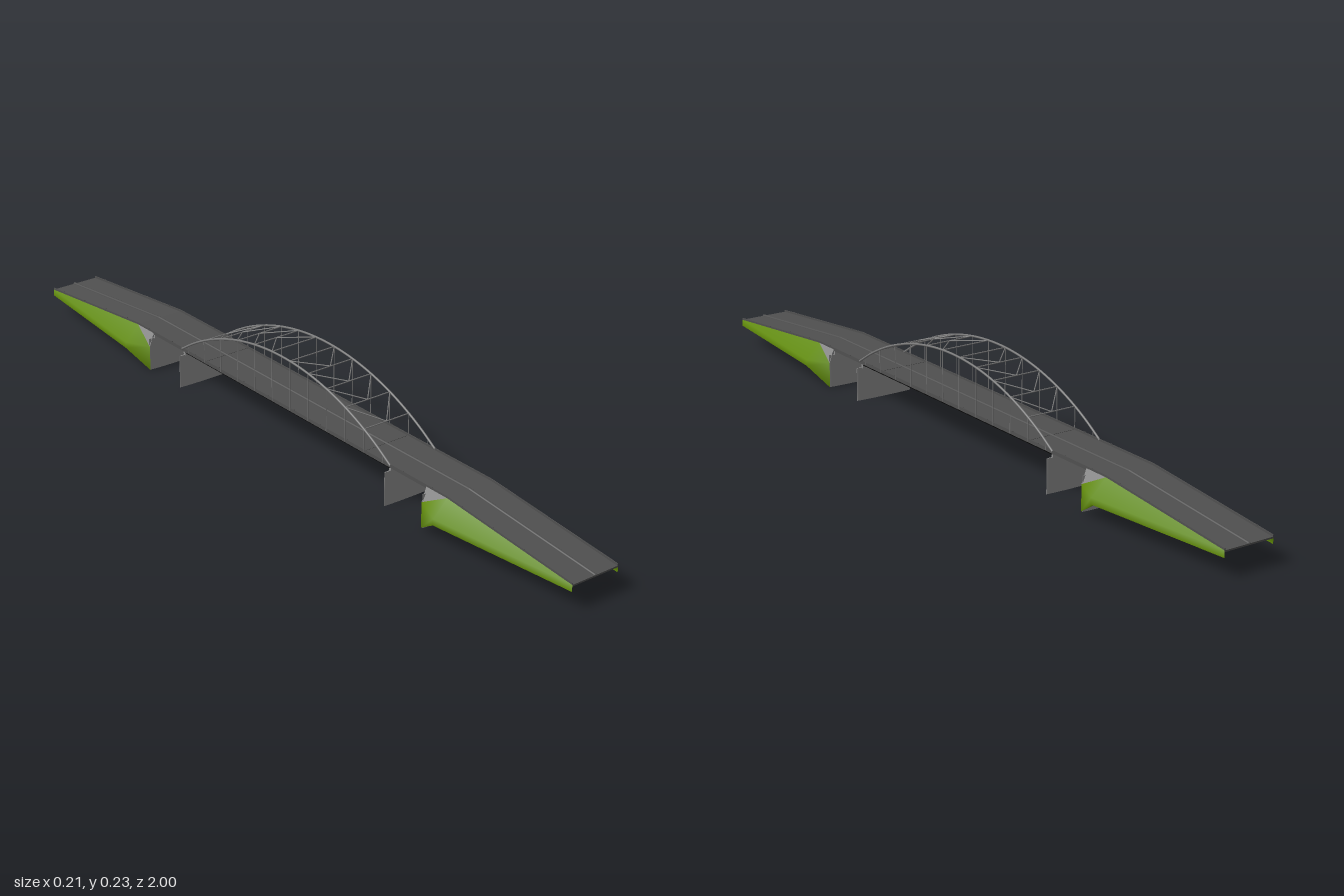
import * as THREE from 'three';
import { mergeVertices } from 'three/addons/utils/BufferGeometryUtils.js';

const mat = (name, color, side = THREE.FrontSide) => {
  const m = new THREE.MeshStandardMaterial({ color, side });
  m.name = name;
  return m;
};

export function createModel() {
  const asphalt = mat('asphalt', 0x505050, THREE.DoubleSide);
  const steel = mat('steel', 0x767676, THREE.DoubleSide);
  const black = mat('blackSteel', 0x060606);
  const concrete = mat('concrete', 0x8e8e8e, THREE.DoubleSide);
  const grass = mat('grass', 0x608a06, THREE.DoubleSide);

  const bridge = new THREE.Group();
  bridge.name = 'archBridge';
  const v = (x, y, z) => new THREE.Vector3(x, y, z);
  const add = (name, geo, material, parent = bridge) => {
    const m = new THREE.Mesh(geo, material);
    m.name = name;
    parent.add(m);
    return m;
  };
  const box = (name, w, h, d, x, y, z, material, parent) => {
    const m = add(name, new THREE.BoxGeometry(w, h, d), material, parent);
    m.position.set(x, y, z);
    return m;
  };
  // Round bar between two points, its ends hidden in other parts
  const bar = (name, a, b, r, material, parent) => {
    const geo = new THREE.CylinderGeometry(r, r, a.distanceTo(b), 20, 1, true);
    const m = add(name, geo, material, parent);
    m.position.copy(a).add(b).multiplyScalar(0.5);
    m.quaternion.setFromUnitVectors(v(0, 1, 0), b.clone().sub(a).normalize());
    return m;
  };
  // Polygons, each a fan of corners; smooth ones share their corners
  const faces = (polys, smooth) => {
    const p = [];
    for (const f of polys) {
      for (let i = 1; i < f.length - 1; i++) p.push(...f[0], ...f[i], ...f[i + 1]);
    }
    let g = new THREE.BufferGeometry();
    g.setAttribute('position', new THREE.Float32BufferAttribute(p, 3));
    if (smooth) g = mergeVertices(g);
    g.computeVertexNormals();
    return g;
  };

  // Road: ramp, level span, ramp as one strip extruded across x
  const W = 0.067, top = 0.1, low = 0.062, ends = 0.6;
  const strip = (w, y0, y1) => {
    const s = new THREE.Shape([[-1, low + y1], [-ends, top + y1], [ends, top + y1], [1, low + y1],
      [1, low + y0], [ends, top + y0], [-ends, top + y0], [-1, low + y0]].map(([a, b]) => new THREE.Vector2(a, b)));
    const g = new THREE.ExtrudeGeometry(s, { depth: w, bevelEnabled: false });
    return g.translate(0, 0, -w / 2).rotateY(Math.PI / 2);
  };
  add('roadDeck', strip(2 * W, -0.004, 0), asphalt);
  for (const s of [-1, 1]) add('curb', strip(0.002, -0.001, 0.005), asphalt).position.x = s * (W - 0.001);

  // Rounded median rail, half sunk in the road
  bar('medianRail', v(0, top, -ends), v(0, top, ends), 0.0038, asphalt);
  for (const e of [-1, 1]) bar('medianRail', v(0, low, e), v(0, top, e * ends), 0.0038, asphalt);

  // Main span girder and cross joints
  box('spanGirder', 0.128, 0.005, 0.8, 0, 0.0945, 0, black);
  for (const s of [-1, 1]) box('deckJoint', 0.128, 0.001, 0.002, 0, 0.1003, s * 0.31, asphalt);

  // Arches, hangers and wind bracing
  const R = 0.712;
  const archY = (z) => 0.228 - R + Math.sqrt(R * R - z * z);
  const stations = [0, 1, 2, 3, 4].map((i) => 0.0345 + 0.069 * i);
  for (const s of [-1, 1]) {
    const arch = new THREE.Group();
    arch.name = 'arch';
    bridge.add(arch);
    const points = [];
    for (let i = 0; i <= 16; i++) {
      const z = -0.405 + (0.81 * i) / 16;
      points.push(v(s * W, archY(z), z));
    }
    add('archRib', new THREE.TubeGeometry(new THREE.CatmullRomCurve3(points), 48, 0.0027, 18), steel, arch);
    for (const z of [...stations, ...stations.map((a) => -a), 0.379, -0.379]) {
      bar('hanger', v(s * W, 0.098, z), v(s * W, archY(z), z), 0.0011, steel, arch);
    }
  }
  for (const e of [-1, 1]) {
    stations.forEach((z, i) => {
      const y = archY(z);
      bar('crossBeam', v(-W, y, e * z), v(W, y, e * z), 0.0015, steel);
      if (i === 0) return;
      const zi = stations[i - 1];
      for (const s of [-1, 1]) {
        bar('diagonalBrace', v(0, y, e * z), v(s * W, archY(zi), e * zi), 0.0014, steel);
      }
    });
  }

  // Thin wall with rounded ends, an ellipse in plan, and a cap under the deck
  const wall = (name, z, parent) => {
    const g = new THREE.CylinderGeometry(0.08, 0.08, 0.086, 64).scale(1, 1, 0.04);
    add(name, g, concrete, parent).position.set(0, 0.043, z);
    box(name + 'Cap', 0.128, 0.012, 0.007, 0, 0.09, z, concrete, parent);
  };

  // River piers, abutments and grassy embankments, open below the ramps
  for (const e of [-1, 1]) {
    const end = new THREE.Group();
    end.name = 'approach';
    if (e < 0) end.rotation.y = Math.PI;
    bridge.add(end);
    wall('pier', 0.4, end);
    wall('abutment', 0.533, end);
    for (const s of [-1, 1]) {
      const a = [s * W, low, 1], b = [s * W, 0.045, 1];
      const c = [s * 0.107, 0.061, 0.6], d = [s * 0.107, 0.045, 0.6];
      const t = [s * W, top, 0.6], u = [s * W, top, 0.53];
      const w = [s * 0.08, 0.065, 0.53], k = [s * 0.08, 0, 0.53];
      const f = [s * 0.08, 0.045, 0.6];
      const flip = (polys) => (s < 0 ? polys.map((p) => p.reverse()) : polys);
      add('embankment', faces(flip([[b, d, c, a], [a, c, t], [c, w, t], [d, k, w, c], [f, k, d]]), true), grass, end);
      add('wingWall', faces(flip([[w, u, t]])), concrete, end);
    }
  }

  // Railing posts along both edges
  for (const s of [-1, 1]) {
    for (let z = -0.95; z <= 0.951; z += 0.1) {
      const y = Math.abs(z) < ends ? top : top - (top - low) * (Math.abs(z) - ends) / (1 - ends);
      box('edgePost', 0.002, 0.008, 0.002, s * (W - 0.001), y + 0.002, z, asphalt);
    }
  }
  return bridge;
}
